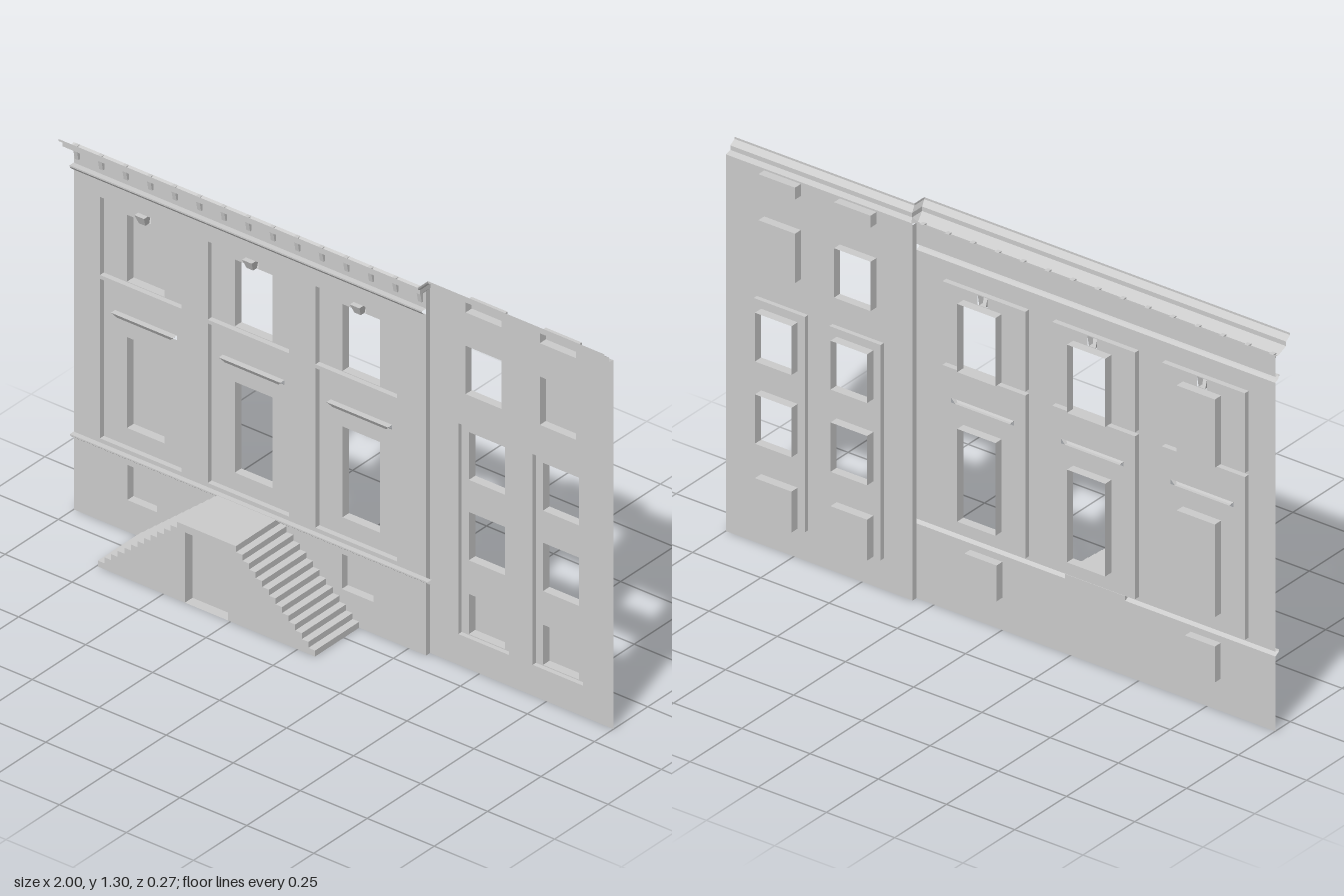
import * as THREE from 'three';

const material = new THREE.MeshStandardMaterial({ color: 0xcccccc, flatShading: true, side: THREE.DoubleSide });

function add(parent, name, geometry) {
  const mesh = new THREE.Mesh(geometry, material);
  mesh.name = name;
  parent.add(mesh);
  return mesh;
}

// Skin between successive rows of points
function loft(rows) {
  const pos = [];
  for (let i = 0; i + 1 < rows.length; i++) {
    for (let j = 0; j + 1 < rows[i].length; j++) {
      const a = rows[i][j], b = rows[i + 1][j], c = rows[i + 1][j + 1], d = rows[i][j + 1];
      pos.push(...a, ...b, ...c, ...a, ...c, ...d);
    }
  }
  const g = new THREE.BufferGeometry();
  g.setAttribute('position', new THREE.Float32BufferAttribute(pos, 3));
  g.computeVertexNormals();
  return g;
}

const corners = ([x0, x1, y0, y1]) => [[x0, y0], [x1, y0], [x1, y1], [x0, y1]];
const toPath = (PathType, pts) => new PathType(pts.map(p => new THREE.Vector2(...p)));

// Flat sheet [x0, x1, y0, y1] at depth z with rectangular holes
function sheet(rect, z, holes = []) {
  const shape = toPath(THREE.Shape, corners(rect));
  for (const h of holes) shape.holes.push(toPath(THREE.Path, corners(h)));
  return new THREE.ShapeGeometry(shape).translate(0, 0, z);
}

// Four side faces of a recess, running from depth z0 to z1
function reveal(rect, z0, z1) {
  const c = corners(rect);
  const ring = z => [...c, c[0]].map(([x, y]) => [x, y, z]);
  return loft([ring(z1), ring(z0)]);
}

// Pressed-in opening: side faces plus an optional back
function recess(parent, name, rect, z0, z1, open = false) {
  add(parent, name + 'Reveal', reveal(rect, z0, z1));
  if (!open) add(parent, name + 'Back', sheet(rect, z1));
}

// Block projecting from depth z0 to z1, hollow behind, narrowing downwards
function projection(parent, name, [x0, x1, y0, y1], z0, z1, insetX, insetZ) {
  const g = new THREE.BoxGeometry(x1 - x0, y1 - y0, z1 - z0);
  g.translate((x0 + x1) / 2, (y0 + y1) / 2, (z0 + z1) / 2);
  const p = g.attributes.position, mid = (x0 + x1) / 2, half = (y0 + y1) / 2;
  for (let i = 0; i < p.count; i++) {
    if (p.getY(i) > half) continue;
    p.setX(i, p.getX(i) + Math.sign(mid - p.getX(i)) * insetX);
    if (p.getZ(i) > (z0 + z1) / 2) p.setZ(i, p.getZ(i) - insetZ);
  }
  g.setIndex(Array.from(g.index.array).slice(0, 30));
  g.computeVertexNormals();
  return add(parent, name, g);
}

const WALL = -0.072, PANEL = -0.09, GLASS = -0.12;
const WING = -0.09, WING_PANEL = -0.105, WING_GLASS = -0.135;
const JOINT = 0.315;

function mainFront() {
  const g = new THREE.Group();
  g.name = 'mainFront';
  const wallHoles = [];

  // Three bays, each with a tall lower panel and a shorter upper panel
  [-0.75, -0.348, 0.054].forEach((x, i) => {
    const open = i > 0, w = x + 0.005;
    const lower = [x - 0.152, x + 0.152, 0.28, 0.825];
    const upper = [x - 0.152, x + 0.152, 0.838, 1.105];
    const lowWin = [w - 0.07, w + 0.07, 0.34, 0.65];
    const upWin = [w - 0.07, w + 0.07, 0.84, 1.068];
    const hood = [w - 0.115, w + 0.115, 0.71, 0.726];
    const key = [w - 0.018, w + 0.018, 1.07, 1.102];
    wallHoles.push(lower, upper);
    add(g, 'lowerPanel', sheet(lower, PANEL, [lowWin, hood]));
    add(g, 'lowerPanelEdge', reveal(lower, WALL, PANEL));
    add(g, 'upperPanel', sheet(upper, PANEL, [upWin, key]));
    add(g, 'upperPanelEdge', reveal(upper, WALL, PANEL));
    recess(g, 'lowerWindow', lowWin, PANEL, GLASS, open);
    recess(g, 'upperWindow', upWin, PANEL, GLASS, open);
    projection(g, 'windowHood', hood, PANEL, -0.07, 0.015, 0.01);
    projection(g, 'keystone', key, PANEL, -0.058, 0.006, 0.014);
  });

  // Wall strips between the moulded bands
  const cellars = [[-0.80, -0.69, 0.108, 0.228], [0, 0.118, 0.108, 0.228]];
  cellars.forEach(r => recess(g, 'basementWindow', r, WALL, -0.1));
  add(g, 'basementWall', sheet([-1, JOINT, 0, 0.25], WALL, cellars));
  add(g, 'mainWall', sheet([-1, JOINT, 0.266, 1.165], WALL, wallHoles));
  add(g, 'frieze', sheet([-1, JOINT, 1.185, 1.255], WALL));
  add(g, 'wallReturn', loft([[[JOINT, 0, WALL], [JOINT, 1.255, WALL]], [[JOINT, 0, WING], [JOINT, 1.255, WING]]]));

  // Horizontal bands
  const band = (name, x0, x1, y0, y1, out) => {
    const profile = [[y0, WALL], [y0 + 0.005, WALL + out * 0.6], [y1 - 0.005, WALL + out], [y1, WALL + out], [y1, WALL]];
    add(g, name, loft([x0, x1].map(x => profile.map(([y, z]) => [x, y, z]))));
  };
  band('sillBand', -1, JOINT + 0.02, 0.25, 0.266, 0.018);
  add(g, 'sillBandEnd', sheet([JOINT, JOINT + 0.02, 0.25, 0.266], WALL));
  band('friezeBand', -1, JOINT, 1.165, 1.185, 0.019);

  // Row of cornice brackets
  for (let i = 0; i < 15; i++) {
    const x = -0.984 + i * 0.0915;
    projection(g, 'corniceBracket', [x - 0.007, x + 0.007, 1.205, 1.255], WALL, -0.055, 0, 0.01);
  }
  return g;
}

function sideWing() {
  const g = new THREE.Group();
  g.name = 'sideWing';
  const wallHoles = [];
  [0.515, 0.792].forEach((x, i) => {
    const rect = (y0, y1, w = 0.067) => [x - w, x + w, y0, y1];
    const panel = rect(0.105, 0.825, 0.094), top = rect(0.935, 1.1), vent = rect(1.214, 1.254);
    const wins = [rect(0.108, 0.245), rect(0.36, 0.525), rect(0.635, 0.798)];
    wallHoles.push(panel, top, vent);
    add(g, 'wingPanel', sheet(panel, WING_PANEL, wins));
    add(g, 'wingPanelEdge', reveal(panel, WING, WING_PANEL));
    wins.forEach((r, k) => recess(g, 'wingWindow', r, WING_PANEL, WING_GLASS, k > 0));
    recess(g, 'topWindow', top, WING, -0.118, i === 0);
    recess(g, 'atticVent', vent, WING, -0.118);
  });
  add(g, 'wingWall', sheet([JOINT, 1, 0, 1.26], WING, wallHoles));
  return g;
}

// Roof cornice, stepping back where the wing begins
function cornice(parent) {
  const profile = [[1.255, -0.072], [1.25, -0.058], [1.265, -0.02], [1.28, -0.02], [1.293, 0], [1.3, 0]];
  const station = (x, back, miter) => profile.map(([y, z], i) => [
    miter ? x + (z + 0.072) * 0.36 : x,
    back && i < 2 ? 1.26 : y,
    back ? Math.max(z - 0.048, WING) : z,
  ]);
  add(parent, 'cornice', loft([station(-1), station(JOINT, false, true), station(JOINT, true, true), station(1, true)]));
}

// Double flight of steps with a central landing over a doorway
function entranceStairs() {
  const g = new THREE.Group();
  g.name = 'entranceStairs';
  const cx = -0.34, steps = 13, rise = 0.265 / steps, run = 0.0246, half = 0.405;
  const right = [];
  for (let i = 0; i < steps; i++) {
    right.push([cx + half - i * run, i * rise], [cx + half - i * run, (i + 1) * rise]);
  }
  const left = right.map(([x, y]) => [2 * cx - x, y]).reverse();
  const door = [-0.42, -0.26, 0, 0.24];
  const doorway = [[door[0], 0], [door[0], door[3]], [door[1], door[3]], [door[1], 0]];
  const body = (name, pts, z0, z1) => add(g, name, new THREE.ExtrudeGeometry(
    toPath(THREE.Shape, pts), { depth: z1 - z0, bevelEnabled: false }).translate(0, 0, z0));
  body('stairBody', [...right, ...left], WALL, 0.1);
  body('stairFront', [...right, ...left, ...doorway], 0.1, 0.135);
  add(g, 'doorFloor', loft([[[door[0], 0, 0.1], [door[1], 0, 0.1]], [[door[0], 0, 0.135], [door[1], 0, 0.135]]]));
  return g;
}

export function createModel() {
  const model = new THREE.Group();
  model.name = 'buildingFacade';
  model.add(mainFront(), sideWing(), entranceStairs());
  cornice(model);
  return model;
}
